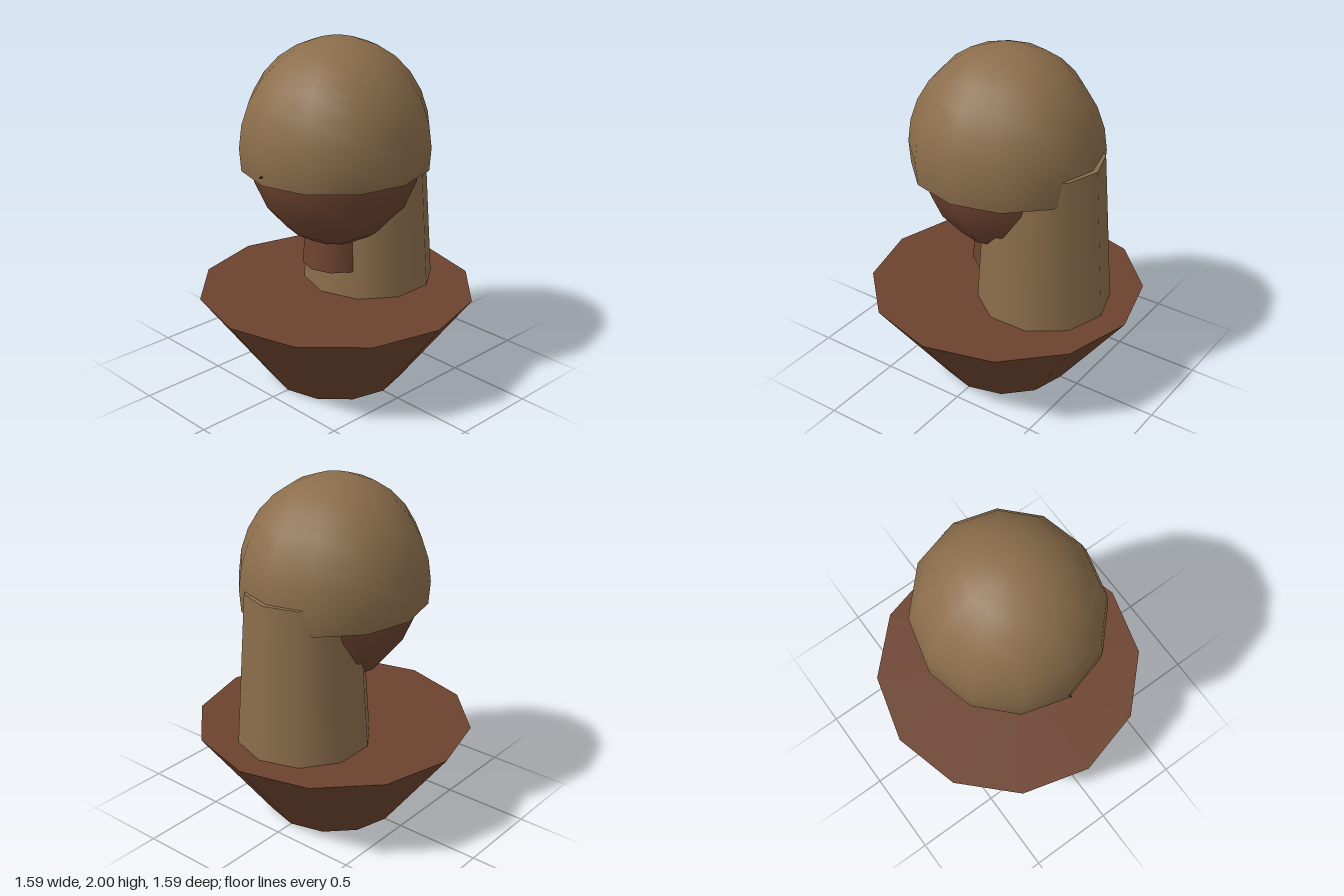
import * as THREE from 'three';

export function createModel() {
  const model = new THREE.Group();
  const tan = new THREE.MeshStandardMaterial({ color: 0x8b6d4b, side: THREE.DoubleSide });
  tan.name = 'tan';
  const brown = new THREE.MeshStandardMaterial({ color: 0x6d432f });
  brown.name = 'brown';
  const dark = new THREE.MeshStandardMaterial({ color: 0x2a1a12 });
  dark.name = 'dark';

  const add = (name, geometry, material, x = 0, y = 0, z = 0) => {
    const mesh = new THREE.Mesh(geometry, material);
    mesh.name = name;
    mesh.position.set(x, y, z);
    model.add(mesh);
    return mesh;
  };

  // Tapered cylinder standing between two heights
  const taper = (name, topR, bottomR, y0, y1, sides, material, z = 0) =>
    add(name, new THREE.CylinderGeometry(topR, bottomR, y1 - y0, sides), material, 0, (y0 + y1) / 2, z);

  // Flared shoulders forming the base
  taper('shoulders', 0.793, 0.387, 0, 0.54, 12, brown);

  // Neck below the head
  taper('neck', 0.175, 0.195, 0.7, 0.95, 10, brown);

  // Head, slightly deeper than wide
  add('head', new THREE.SphereGeometry(1, 12, 10), brown, 0, 1.397, 0).scale.set(0.475, 0.57, 0.497);

  // Open hair dome over the head
  const dome = new THREE.SphereGeometry(1, 12, 8, 0, Math.PI * 2, 0, Math.PI * 0.56);
  add('hairDome', dome, tan, 0, 1.402, 0).scale.set(0.527, 0.598, 0.553);

  // Long hair falling behind the head
  taper('backHair', 0.32, 0.38, 0.54, 1.43, 10, tan, -0.26);

  // Tiny pointed stud on the hairline
  add('frontStud', new THREE.ConeGeometry(0.009, 0.025, 8), dark, 0, 1.34, 0.553).rotation.x = Math.PI / 2;

  return model;
}
